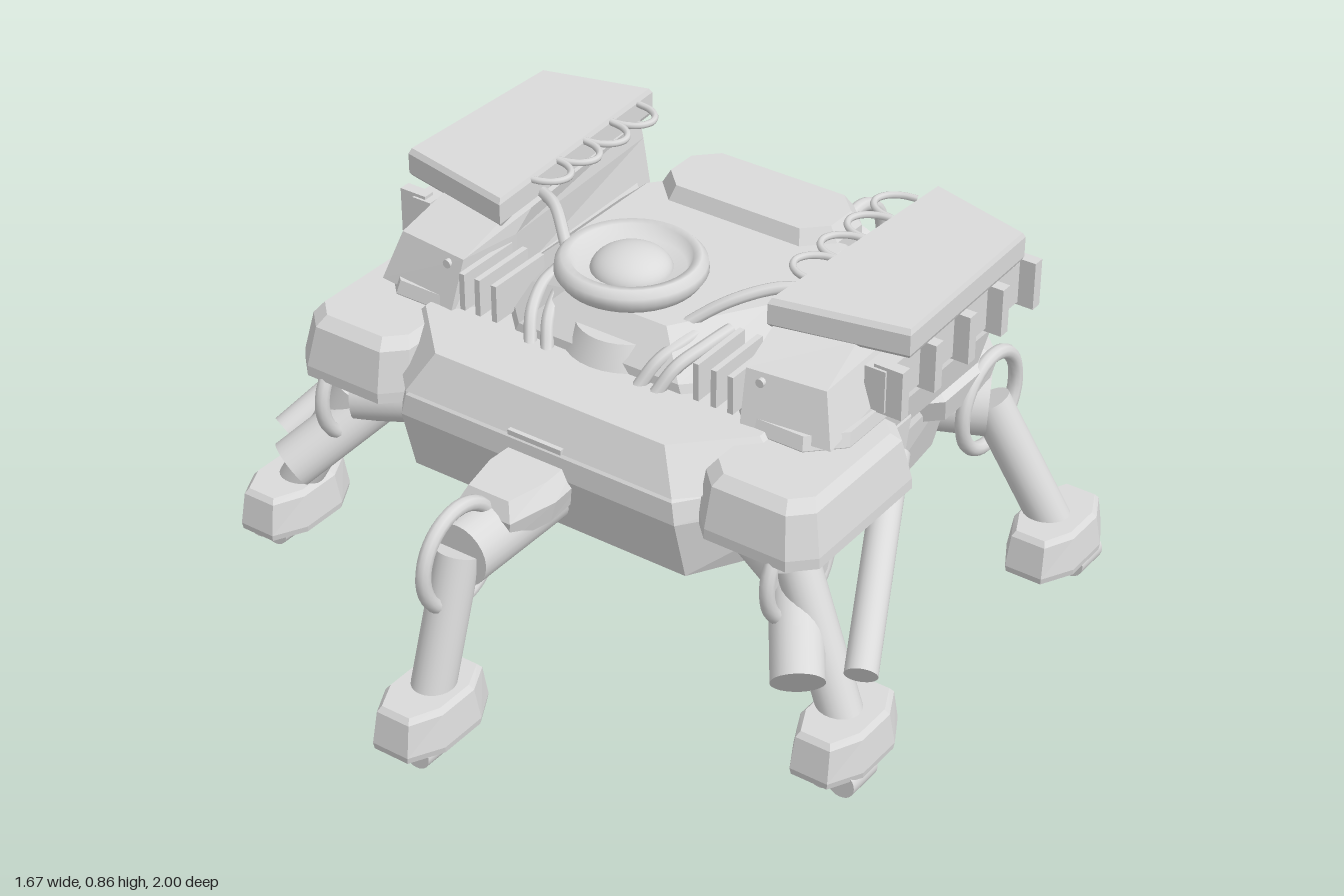
import * as THREE from 'three';

const grey = new THREE.MeshStandardMaterial({ color: 0xdadada });
grey.name = 'plain grey';
const V = (x, y, z) => new THREE.Vector3(x, y, z);

function add(parent, name, geometry) {
  const mesh = new THREE.Mesh(geometry, grey);
  mesh.name = name;
  parent.add(mesh);
  return mesh;
}

// Octagonal outline in the ground plane: half sizes hx, hz, corner cuts c along x and e along z
function oct(cx, cz, hx, hz, c, e = c) {
  return [[hx - c, hz], [hx, hz - e], [hx, e - hz], [hx - c, -hz],
    [c - hx, -hz], [-hx, e - hz], [-hx, hz - e], [c - hx, hz]].map(([x, z]) => [cx + x, cz + z]);
}

// Outline symmetric in x, from its +x half listed front to back
const sym = (half) => [...half, ...half.map(([x, z]) => [-x, z]).reverse()];

// Flat-faced solid through stacked outlines; levels = [[y, outline], ...] from the bottom up
function loft(levels) {
  const n = levels[0][1].length, p = [];
  let area = 0;
  levels[0][1].forEach(([x, z], i, o) => { const b = o[(i + 1) % n]; area += x * b[1] - b[0] * z; });
  const rings = levels.map(([y, o]) => (area > 0 ? [...o].reverse() : o).map(([x, z]) => [x, y, z]));
  const tri = (a, b, c) => p.push(...a, ...b, ...c);
  const last = rings[rings.length - 1], first = rings[0];
  for (let i = 0; i < n; i++) {
    const j = (i + 1) % n;
    for (let k = 0; k + 1 < rings.length; k++) {
      const a = rings[k][i], b = rings[k][j], c = rings[k + 1][j], d = rings[k + 1][i];
      tri(a, b, c);
      tri(a, c, d);
    }
    if (i > 0 && i < n - 1) {
      tri(last[0], last[i], last[i + 1]);
      tri(first[0], first[i + 1], first[i]);
    }
  }
  const g = new THREE.BufferGeometry();
  g.setAttribute('position', new THREE.Float32BufferAttribute(p, 3));
  g.computeVertexNormals();
  return g;
}

// Round bar between two points
function bar(parent, name, a, b, r) {
  const m = add(parent, name, new THREE.CylinderGeometry(r, r, a.distanceTo(b), 24));
  m.position.copy(a).add(b).multiplyScalar(0.5);
  m.quaternion.setFromUnitVectors(V(0, 1, 0), b.clone().sub(a).normalize());
}

function box(parent, name, w, h, d, x, y, z) {
  add(parent, name, new THREE.BoxGeometry(w, h, d)).position.set(x, y, z);
}

function tube(parent, name, points, r) {
  add(parent, name, new THREE.TubeGeometry(new THREE.CatmullRomCurve3(points), 24, r, 8));
}

// Leg: upper arm, knee ring, shin, and a foot with a twin pad underneath
function addLeg(parent, name, hip, knee, foot) {
  const leg = new THREE.Group();
  leg.name = name;
  parent.add(leg);
  bar(leg, 'upperArm', hip, knee, 0.073);
  bar(leg, 'shin', V(knee.x, knee.y + 0.01, knee.z), V(foot.x, 0.11, foot.z), 0.048);
  const ring = add(leg, 'kneeRing', new THREE.TorusGeometry(0.114, 0.017, 10, 36));
  ring.rotation.y = Math.PI / 2;
  ring.position.set(knee.x, 0.42, knee.z);
  add(leg, 'foot', loft([
    [0.05, oct(foot.x, foot.z, 0.084, 0.133, 0.04, 0.075)],
    [0.065, oct(foot.x, foot.z, 0.086, 0.135, 0.04, 0.075)],
    [0.14, oct(foot.x, foot.z, 0.076, 0.122, 0.034, 0.07)],
    [0.152, oct(foot.x, foot.z, 0.066, 0.112, 0.03, 0.065)]]));
  const px = foot.x + Math.sign(foot.x) * 0.02, pz = foot.z + Math.sign(foot.z) * 0.04;
  for (const d of [-0.026, 0.026]) bar(leg, 'footPad', V(px + d, 0.034, pz - 0.045), V(px + d, 0.034, pz + 0.045), 0.034);
}

// Everything that exists once on each side; s is the sign of x
function addSide(parent, s) {
  const side = new THREE.Group();
  side.name = s > 0 ? 'leftSide' : 'rightSide';
  parent.add(side);
  const mirror = (o) => o.map(([x, z]) => [x * s, z]);

  // Corner legs
  for (const f of [1, -1]) {
    addLeg(side, f > 0 ? 'frontLeg' : 'backLeg', V(s * 0.38, 0.42, f * 0.27),
      V(s * 0.59, 0.41, f * 0.38), V(s * 0.748, 0, f * 0.432));
  }

  // Front shoulder armour, side skirt, back hip fender and small rear pod
  add(side, 'shoulder', loft([
    [0.485, oct(s * 0.53, 0.265, 0.15, 0.225, 0.05)],
    [0.51, oct(s * 0.53, 0.265, 0.149, 0.225, 0.05)],
    [0.605, oct(s * 0.525, 0.265, 0.135, 0.205, 0.045)],
    [0.628, oct(s * 0.525, 0.265, 0.118, 0.18, 0.04)]]));
  add(side, 'sideSkirt', loft([
    [0.485, oct(s * 0.47, 0.06, 0.13, 0.1, 0.03)],
    [0.57, oct(s * 0.47, 0.06, 0.13, 0.12, 0.03)]]));
  add(side, 'hipFender', loft([
    [0.47, oct(s * 0.45, -0.28, 0.14, 0.16, 0.07)],
    [0.53, oct(s * 0.45, -0.28, 0.15, 0.18, 0.07)],
    [0.555, oct(s * 0.44, -0.28, 0.12, 0.15, 0.06)]]));
  add(side, 'rearPod', loft([
    [0.49, oct(s * 0.31, -0.44, 0.11, 0.06, 0.04)],
    [0.55, oct(s * 0.31, -0.44, 0.115, 0.07, 0.04)],
    [0.585, oct(s * 0.31, -0.43, 0.085, 0.05, 0.03)]]));

  // Slanted barrels below the shoulder
  bar(side, 'wideBarrel', V(s * 0.5, 0.44, 0.26), V(s * 0.68, 0.24, 0.51), 0.058);
  bar(side, 'thinBarrel', V(s * 0.59, 0.5, 0.02), V(s * 0.775, 0.245, 0.42), 0.036);

  // Upper pod: base, body with sloping nose, and a slab cap
  add(side, 'podBase', loft([
    [0.55, oct(s * 0.46, -0.06, 0.13, 0.33, 0.07)],
    [0.63, oct(s * 0.46, -0.06, 0.145, 0.35, 0.07)],
    [0.66, oct(s * 0.46, -0.06, 0.14, 0.34, 0.07)]]));
  add(side, 'podBody', loft([
    [0.64, mirror([[0.38, 0.29], [0.59, 0.27], [0.61, -0.37], [0.55, -0.42], [0.36, -0.42], [0.35, 0.1]])],
    [0.755, mirror([[0.37, 0.255], [0.555, 0.235], [0.59, -0.37], [0.54, -0.415], [0.375, -0.415], [0.345, 0.1]])],
    [0.8, mirror([[0.36, 0.13], [0.54, 0.1], [0.575, -0.36], [0.53, -0.41], [0.38, -0.41], [0.34, 0.05]])]]));
  const capOutline = (k) => mirror([[0.385, -0.465], [0.645, -0.395], [0.657, 0.085], [0.35, 0.15], [0.365, -0.1]]
    .map(([x, z]) => [0.51 + (x - 0.51) * k, -0.16 + (z + 0.16) * k]));
  add(side, 'podCap', loft([[0.79, capOutline(0.97)], [0.8, capOutline(1)], [0.848, capOutline(1)], [0.86, capOutline(0.97)]]));

  // Outer ribs
  box(side, 'ribPanel', 0.05, 0.1, 0.54, s * 0.597, 0.715, -0.15);
  for (const z of [0.1, -0.03, -0.165, -0.3, -0.435]) {
    box(side, 'outerRib', 0.07, 0.115, 0.028, s * 0.625, 0.715, z);
  }

  // Looped cable along the inner cap edge, and bolt on the pod front
  for (let i = 0; i < 4; i++) {
    const z = -0.345 + i * 0.105, pts = [];
    for (let k = 0; k <= 6; k++) {
      const a = Math.PI * k / 6;
      pts.push(V(s * (0.375 - 0.075 * Math.sin(a)), 0.85, z - 0.052 * Math.cos(a)));
    }
    tube(side, 'capLoop', pts, 0.008);
  }
  bar(side, 'podBolt', V(s * 0.41, 0.735, 0.23), V(s * 0.41, 0.735, 0.265), 0.01);

  // Cooling fins and hose to the turret
  for (const x of [0.265, 0.31, 0.352]) {
    box(side, 'coolingFin', 0.014, 0.09, 0.17, s * x, 0.695, 0.2);
  }
  tube(side, 'hose', [V(s * 0.37, 0.8, -0.02), V(s * 0.3, 0.805, 0.02), V(s * 0.22, 0.78, 0.09),
    V(s * 0.15, 0.73, 0.15), V(s * 0.11, 0.69, 0.19)], 0.014);

  // Curved braces beside the turret
  for (const d of [0, 0.045]) {
    tube(side, 'turretBrace', [V(s * (0.18 + d), 0.715, 0.1), V(s * (0.17 + d), 0.71, 0.18),
      V(s * (0.145 + d), 0.685, 0.25), V(s * (0.12 + d), 0.63, 0.29)], 0.015);
  }
}

export function createModel() {
  const model = new THREE.Group();
  model.name = 'sixLeggedWalker';

  // Hull
  add(model, 'hull', loft([
    [0.34, sym([[0.36, 0.455], [0.56, 0.12], [0.52, -0.26], [0.34, -0.445]])],
    [0.49, sym([[0.36, 0.495], [0.58, 0.2], [0.55, -0.28], [0.35, -0.46]])],
    [0.54, sym([[0.35, 0.49], [0.57, 0.2], [0.54, -0.28], [0.35, -0.46]])],
    [0.58, sym([[0.32, 0.455], [0.52, 0.19], [0.49, -0.26], [0.32, -0.425]])]]));
  add(model, 'frontDeck', loft([
    [0.55, oct(0, 0.1, 0.52, 0.39, 0.17)],
    [0.64, oct(0, 0.1, 0.44, 0.345, 0.14)]]));
  add(model, 'topDeck', loft([
    [0.56, oct(0, -0.08, 0.37, 0.36, 0.12)],
    [0.66, oct(0, -0.08, 0.35, 0.35, 0.14)],
    [0.74, sym([[0.13, 0.2], [0.26, 0], [0.26, -0.27], [0.2, -0.34]])]]));
  add(model, 'backHousing', loft([
    [0.54, oct(0, -0.345, 0.19, 0.1, 0.05)],
    [0.64, oct(0, -0.345, 0.235, 0.115, 0.06)],
    [0.74, oct(0, -0.345, 0.235, 0.11, 0.06)],
    [0.775, oct(0, -0.34, 0.215, 0.09, 0.05)]]));
  box(model, 'frontSlot', 0.14, 0.012, 0.04, 0, 0.556, 0.475);

  // Round turret: low hatch, neck, dished ring and dome
  const hatch = add(model, 'turretHatch', new THREE.CylinderGeometry(0.12, 0.15, 0.06, 32));
  hatch.position.set(0, 0.665, 0.15);
  const neck = add(model, 'turretNeck', new THREE.CylinderGeometry(0.065, 0.065, 0.1, 32));
  neck.position.set(0, 0.74, 0.13);
  const rim = [[0.001, 0.785], [0.13, 0.785], [0.152, 0.792], [0.166, 0.812], [0.164, 0.83], [0.15, 0.845],
    [0.132, 0.843], [0.118, 0.815], [0.001, 0.81]];
  const ring = add(model, 'turretRing', new THREE.LatheGeometry(rim.map(([x, y]) => new THREE.Vector2(x, y)), 40));
  ring.position.z = 0.145;
  const dome = add(model, 'turretDome', new THREE.SphereGeometry(0.09, 32, 12, 0, Math.PI * 2, 0, Math.PI / 2));
  dome.scale.y = 0.58;
  dome.position.set(0, 0.808, 0.145);

  // Centre legs with armoured covers
  for (const f of [1, -1]) {
    addLeg(model, f > 0 ? 'frontCentreLeg' : 'backCentreLeg', V(0, 0.42, f * 0.38), V(0, 0.42, f * 0.755), V(0, 0, f * 0.865));
    const cover = (k, end) => sym([[0.07 * k, end], [0.098 * k, 0.55], [0.09 * k, 0.42]]).map(([x, z]) => [x, z * f]);
    add(model, 'legCover', loft([[0.42, cover(0.85, 0.66)], [0.475, cover(1, 0.67)], [0.515, cover(0.75, 0.65)]]));
  }

  addSide(model, 1);
  addSide(model, -1);
  return model;
}
